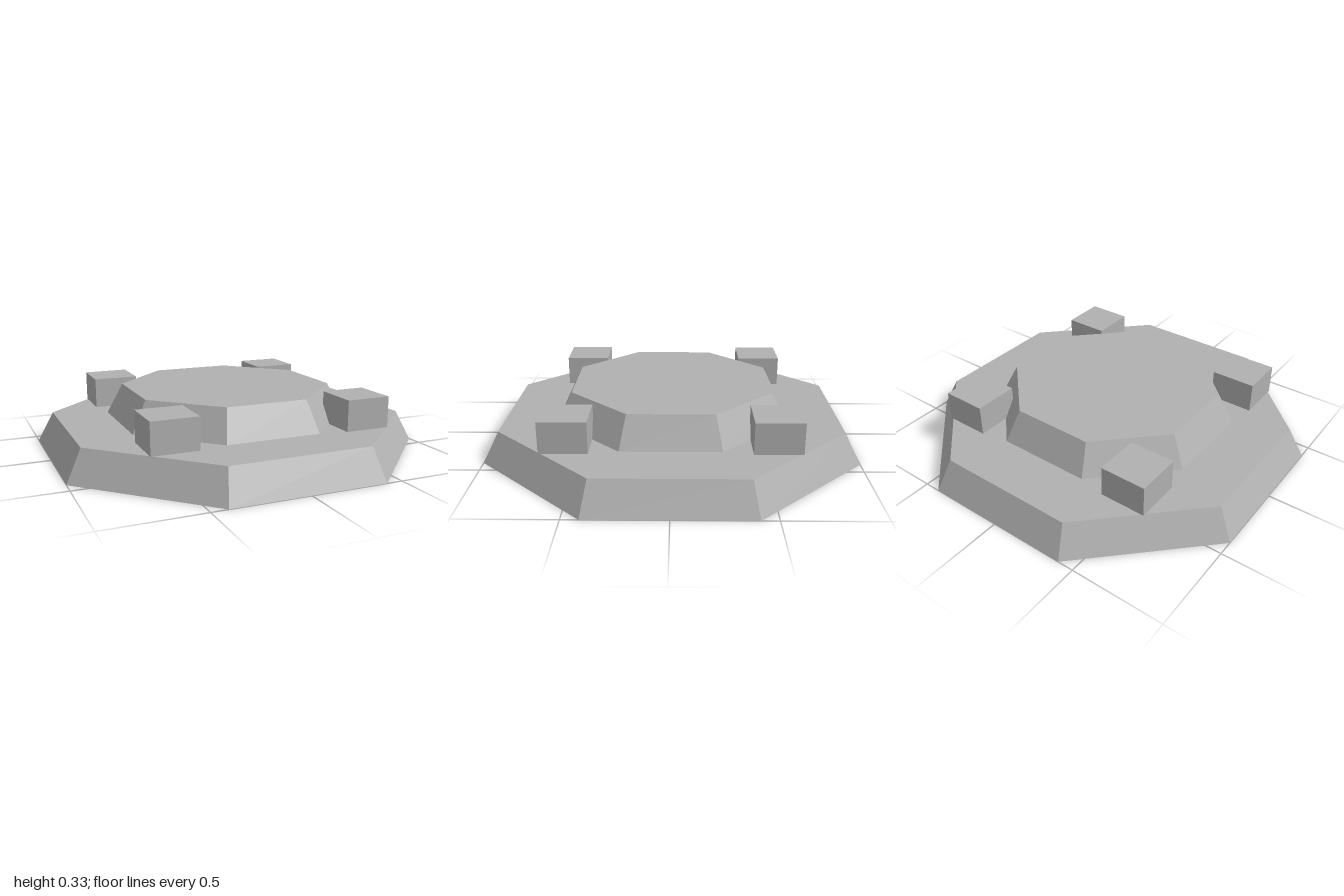
import * as THREE from 'three';

const SIDES = 8;
const STEP = 0.167; // height of each tier

export function createModel() {
  const model = new THREE.Group();
  model.name = 'steppedPlatform';

  const stone = new THREE.MeshStandardMaterial({ color: 0xb0b0b0 });
  stone.name = 'grey stone';
  stone.flatShading = true;

  const add = (name, geometry, x, y, z) => {
    const mesh = new THREE.Mesh(geometry, stone);
    mesh.name = name;
    mesh.position.set(x, y, z);
    model.add(mesh);
  };

  // Tapered octagon with flat sides facing the axes, sized by its half-widths
  const toRadius = (halfWidth) => halfWidth / Math.cos(Math.PI / SIDES);
  const octagon = (top, bottom) => new THREE.CylinderGeometry(
    toRadius(top), toRadius(bottom), STEP, SIDES, 1, false, Math.PI / SIDES);

  // Two stacked tiers
  add('lowerTier', octagon(0.917, 1), 0, STEP / 2, 0);
  add('upperTier', octagon(0.542, 0.625), 0, STEP * 1.5, 0);

  // Four blocks on the diagonals, set against the upper tier
  const block = new THREE.BoxGeometry(0.247, STEP, 0.247);
  for (const [sx, xName] of [[1, 'Left'], [-1, 'Right']]) {
    for (const [sz, zName] of [[1, 'front'], [-1, 'back']]) {
      add(`${zName}${xName}Block`, block, sx * 0.531, STEP * 1.5, sz * 0.531);
    }
  }

  return model;
}
